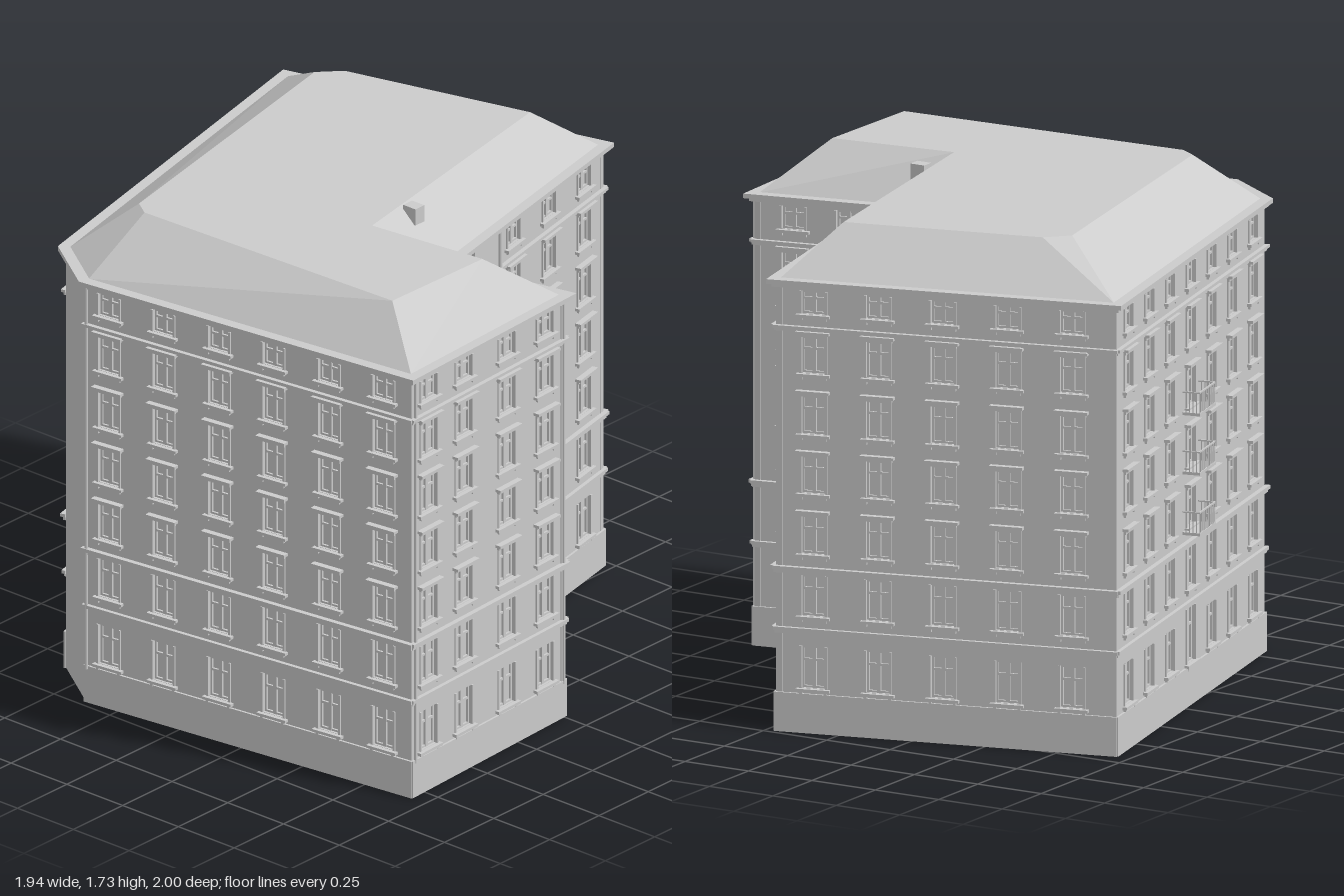
import * as THREE from 'three';
import { mergeGeometries } from 'three/addons/utils/BufferGeometryUtils.js';

const mat = new THREE.MeshStandardMaterial({ color: 0xcccccc, flatShading: true, side: THREE.DoubleSide });

// Footprint corners [x, z], walked with the outside on the right-hand side
const plan = [[-0.385, 0.97], [0.935, 0.81], [0.895, -0.01], [0.44, 0.085], [0.215, -0.975], [-0.945, -0.68], [-0.605, 0.82]];

// Walls in plan order with window columns as fractions of the length
const walls = [
  { name: 'frontWall', cols: [0.072, 0.239, 0.409, 0.576, 0.746, 0.913] },
  { name: 'wingSideWall', cols: [0.11, 0.34, 0.62, 0.87] },
  { name: 'wingBackWall', cols: [0.3, 0.72] },
  { name: 'courtyardWall', cols: [0.146, 0.434, 0.656, 0.877] },
  { name: 'backWall', cols: [0.11, 0.3, 0.49, 0.68, 0.87] },
  { name: 'streetWall', cols: [0.08, 0.22, 0.36, 0.5, 0.64, 0.78, 0.92], entrance: true },
  { name: 'cornerWall', cols: [], plain: true },
];

// Storeys: window bottom, window top, and whether a hood sits above
const storeys = [
  [0.155, 0.3, false], [0.405, 0.545, false], [0.62, 0.75, true], [0.83, 0.957, true],
  [1.035, 1.165, true], [1.245, 1.37, true], [1.45, 1.53, false],
];
const HEIGHT = 1.555, WIN = 0.082, THICK = 0.022;

function box(w, h, d, x, y, z) {
  return new THREE.BoxGeometry(w, h, d).translate(x, y, z);
}

function mesh(name, geometry) {
  const m = new THREE.Mesh(geometry, mat);
  m.name = name;
  return m;
}

// Moves every side of the footprint outwards by d, with mitred corners
function offsetPlan(d) {
  const n = plan.length;
  const normal = (i) => {
    const a = plan[i], b = plan[(i + 1) % n];
    return new THREE.Vector2(a[1] - b[1], b[0] - a[0]).normalize();
  };
  return plan.map((p, i) => {
    const u = normal((i + n - 1) % n), v = normal(i), k = d / (1 + u.dot(v));
    return [p[0] + (u.x + v.x) * k, p[1] + (u.y + v.y) * k];
  });
}

const toPoints = (pts) => pts.map(([x, z]) => new THREE.Vector2(x, -z));

// Horizontal ring following the footprint
function ring(out, inn, y, h) {
  const s = new THREE.Shape(toPoints(offsetPlan(out)));
  s.holes.push(new THREE.Path(toPoints(offsetPlan(inn))));
  return new THREE.ExtrudeGeometry(s, { depth: h, bevelEnabled: false }).rotateX(-Math.PI / 2).translate(0, y, 0);
}

function rectPath(x, y0, y1, w) {
  return new THREE.Path([[-1, y0], [-1, y1], [1, y1], [1, y0]].map(([s, y]) => new THREE.Vector2(x + s * w / 2, y)));
}

// Pane, sash bars and casing set back in the opening
function sashes(x, y0, y1) {
  const h = y1 - y0, my = (y0 + y1) / 2, parts = [];
  parts.push(box(WIN, h, 0.003, x, my, -0.018));
  for (const s of [-1, 1]) {
    parts.push(box(0.007, h, 0.008, x + s * (WIN / 2 - 0.0035), my, -0.013));
    parts.push(box(WIN, 0.007, 0.008, x, my + s * (h / 2 - 0.0035), -0.013));
  }
  parts.push(box(0.013, h, 0.009, x, my, -0.012));
  parts.push(box(WIN, 0.008, 0.008, x, y0 + h * 0.67, -0.013));
  return parts;
}

// Sill with two brackets, and a hood on the main storeys
function surround(x, y0, y1, hood) {
  const parts = [box(0.118, 0.01, 0.018, x, y0 - 0.006, 0.007)];
  for (const s of [-1, 1]) {
    parts.push(box(0.01, 0.012, 0.01, x + s * 0.043, y0 - 0.016, 0.004));
    parts.push(box(0.008, y1 - y0, 0.006, x + s * (WIN / 2 + 0.004), (y0 + y1) / 2, 0.002));
  }
  if (hood) {
    parts.push(box(0.1, 0.012, 0.01, x, y1 + 0.006, 0.004));
    parts.push(box(0.118, 0.01, 0.024, x, y1 + 0.016, 0.01));
  }
  return parts;
}

// Slab with a barred railing on three sides
function balcony(x, y) {
  const w = 0.165, d = 0.062, h = 0.075, parts = [box(w, 0.01, d, x, y, d / 2)];
  parts.push(box(w, 0.005, 0.005, x, y + h, d - 0.003));
  for (let i = 0; i <= 12; i++) parts.push(box(0.0025, h, 0.0025, x - w / 2 + 0.002 + i * (w - 0.004) / 12, y + h / 2, d - 0.003));
  for (const s of [-1, 1]) {
    const sx = x + s * (w / 2 - 0.002);
    parts.push(box(0.005, 0.005, d, sx, y + h, d / 2));
    for (let i = 1; i < 5; i++) parts.push(box(0.0025, h, 0.0025, sx, y + h / 2, i * d / 5));
  }
  return parts;
}

function buildWall(spec, a, b) {
  const g = new THREE.Group();
  g.name = spec.name;
  const dx = b[0] - a[0], dz = b[1] - a[1], len = Math.hypot(dx, dz);
  g.position.set(a[0], 0, a[1]);
  g.rotation.y = Math.atan2(-dz, dx);

  const shape = new THREE.Shape([[0, 0], [len, 0], [len, HEIGHT], [0, HEIGHT]].map((p) => new THREE.Vector2(...p)));
  const windows = [], trim = [], balconies = [];
  spec.cols.forEach((t, c) => storeys.forEach(([y0, y1, hood], r) => {
    const x = t * len, middle = spec.entrance && c === 3;
    const door = middle && r === 0;
    const bottom = door ? 0.145 : y0, top = door ? 0.335 : y1;
    shape.holes.push(rectPath(x, bottom, top, WIN));
    windows.push(...sashes(x, bottom, top));
    trim.push(...surround(x, bottom, top, hood));
    if (middle && r >= 2 && r <= 4) balconies.push(...balcony(x, y0 - 0.012));
  }));
  const slab = new THREE.ExtrudeGeometry(shape, { depth: THICK, bevelEnabled: false }).translate(0, 0, -THICK);
  g.add(mesh('masonry', slab));
  if (spec.plain) return g;

  // Plinth and string courses
  const bands = [[0.068, 0.136, 0.008], [0.357, 0.012, 0.014], [0.346, 0.01, 0.007], [0.568, 0.012, 0.018], [0.556, 0.012, 0.01], [1.402, 0.01, 0.016], [1.392, 0.01, 0.008]];
  for (const [y, h, d] of bands) trim.push(box(len + d, h, d, len / 2, y, d / 2));
  g.add(mesh('windows', mergeGeometries(windows)), mesh('trim', mergeGeometries(trim)));
  if (balconies.length) g.add(mesh('balconies', mergeGeometries(balconies)));
  return g;
}

// Sloping sides up to a flat deck
function buildRoof() {
  const g = new THREE.Group();
  g.name = 'roof';
  const eaves = offsetPlan(-0.012);
  eaves.splice(5, 0, eaves[5]);
  const deck = [[-0.36, 0.7], [0.72, 0.665], [0.73, 0.22], [0.28, 0.27], [0.09, -0.745], [-0.59, -0.575], [-0.66, -0.5], [-0.42, 0.66]];
  const low = 1.565, high = 1.727, pos = [];
  eaves.forEach((e, i) => {
    const j = (i + 1) % eaves.length, f = eaves[j], t = deck[i], u = deck[j];
    if (e !== f) pos.push(e[0], low, e[1], f[0], low, f[1], u[0], high, u[1]);
    pos.push(e[0], low, e[1], u[0], high, u[1], t[0], high, t[1]);
  });
  const slopes = new THREE.BufferGeometry();
  slopes.setAttribute('position', new THREE.Float32BufferAttribute(pos, 3));
  slopes.computeVertexNormals();
  const top = new THREE.ShapeGeometry(new THREE.Shape(toPoints(deck))).rotateX(-Math.PI / 2).translate(0, high, 0);
  g.add(mesh('roofSlopes', slopes), mesh('roofDeck', top));
  g.add(mesh('chimney', box(0.055, 0.06, 0.045, 0.285, 1.702, 0.065)));
  return g;
}

export function createModel() {
  const model = new THREE.Group();
  model.name = 'apartmentBuilding';
  walls.forEach((w, i) => model.add(buildWall(w, plan[i], plan[(i + 1) % plan.length])));

  // Eaves cornice in two steps
  model.add(mesh('corniceLower', ring(0.012, -0.02, 1.538, 0.012)));
  model.add(mesh('cornice', ring(0.026, -0.02, 1.55, 0.016)));
  model.add(buildRoof());

  // Drainpipes
  for (const [x, z] of [[-0.375, 0.978], [0.94, 0.795], [0.9, 0.0], [0.432, 0.068], [0.373, -0.275]]) {
    const pipe = mesh('drainpipe', new THREE.CylinderGeometry(0.006, 0.006, 1.42, 8));
    pipe.position.set(x, 0.835, z);
    model.add(pipe);
  }
  return model;
}
